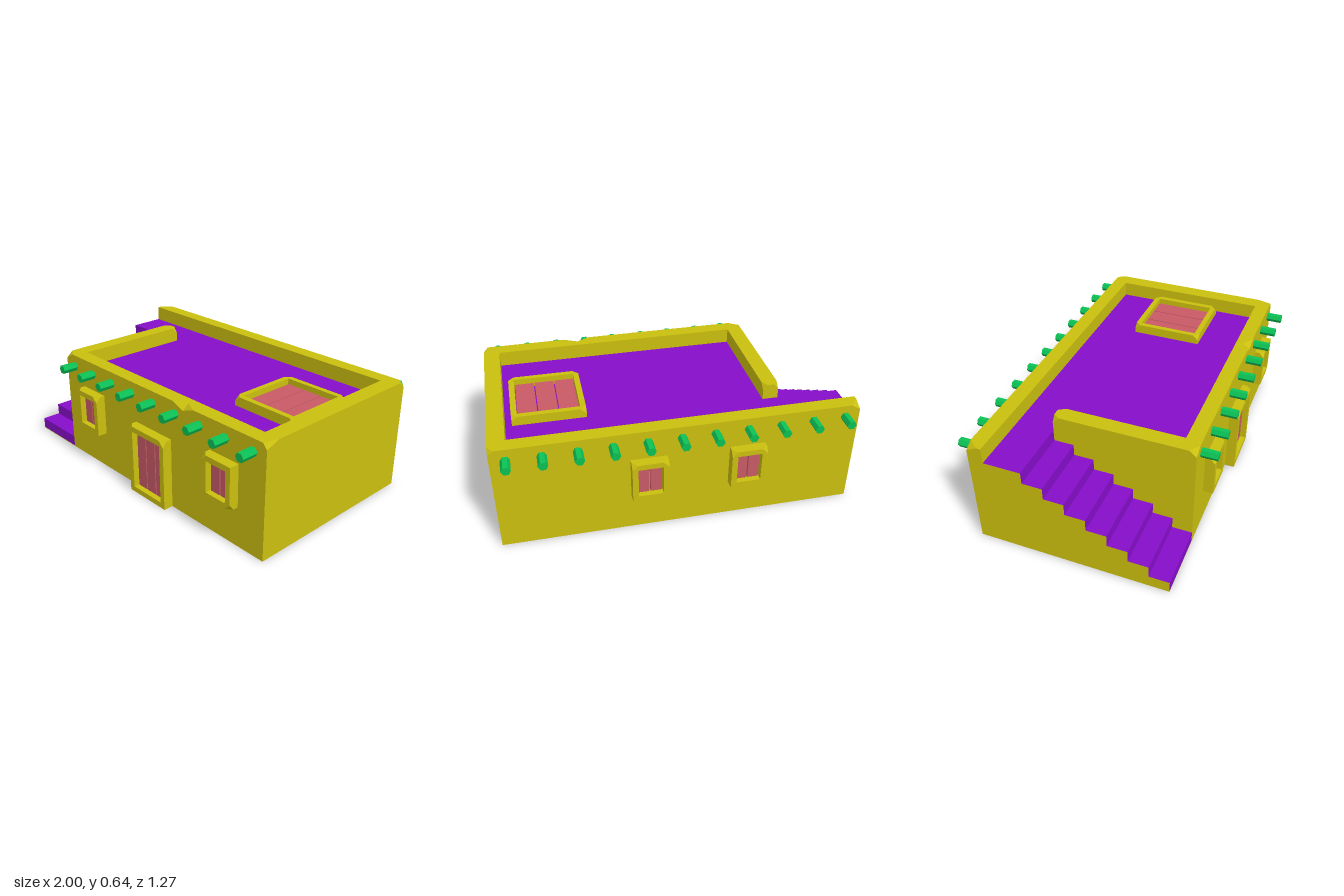
import * as THREE from 'three';
import { ConvexGeometry } from 'three/addons/geometries/ConvexGeometry.js';

const mat = (color) => new THREE.MeshStandardMaterial({ color, flatShading: true });

export function createModel() {
  const house = new THREE.Group();
  house.name = 'adobeHouse';
  const adobe = mat(0xcabf0f), floor = mat(0x860dc9), wood = mat(0xc85a66), beam = mat(0x0cc155);

  const add = (parent, name, geometry, material) => {
    const mesh = new THREE.Mesh(geometry, material);
    mesh.name = name;
    parent.add(mesh);
    return mesh;
  };
  const block = (name, x0, x1, y0, y1, z0, z1) =>
    add(house, name, new THREE.BoxGeometry(x1 - x0, y1 - y0, z1 - z0), adobe)
      .position.set((x0 + x1) / 2, (y0 + y1) / 2, (z0 + z1) / 2);

  const ROOF = 0.545, TOP = 0.637, FRONT = 0.543, BACK = -0.547;
  const INNER_FRONT = 0.457, INNER_BACK = -0.462, SIDE = -0.637;

  // Solid walls
  block('mainWalls', SIDE, 1, 0, ROOF, BACK, FRONT);
  block('backWallExtension', -1, SIDE, 0, ROOF, BACK, INNER_BACK);

  // Parapet pieces; each chip [xEnd, zEnd, dx, dz, dy] knocks off one top corner
  const parapet = (name, xs, zs, chips = []) => {
    const points = [];
    for (const i of [0, 1]) for (const j of [0, 1]) {
      const x = xs[i], z = zs[j];
      points.push(new THREE.Vector3(x, ROOF, z));
      const chip = chips.find((c) => c[0] === i && c[1] === j);
      if (!chip) {
        points.push(new THREE.Vector3(x, TOP, z));
        continue;
      }
      const [, , dx, dz, dy] = chip;
      points.push(
        new THREE.Vector3(x + (i ? -dx : dx), TOP, z),
        new THREE.Vector3(x, TOP, z + (j ? -dz : dz)),
        new THREE.Vector3(x, TOP - dy, z));
    }
    add(house, name, new ConvexGeometry(points), adobe);
  };
  parapet('frontParapetRight', [SIDE, 0.425], [INNER_FRONT, FRONT],
    [[0, 1, 0.06, 0.04, 0.035], [1, 1, 0.08, 0.04, 0.03]]);
  parapet('frontParapetLeft', [0.425, 1], [INNER_FRONT, FRONT],
    [[0, 1, 0.08, 0.04, 0.03], [1, 1, 0.025, 0.08, 0.03]]);
  parapet('backParapet', [-1, 1], [BACK, INNER_BACK],
    [[0, 0, 0.05, 0.06, 0.03], [1, 0, 0.03, 0.04, 0.03]]);
  parapet('leftParapet', [0.907, 1], [INNER_BACK, INNER_FRONT]);
  parapet('rightParapet', [SIDE, -0.547], [-0.25, INNER_FRONT],
    [[0, 0, 0.025, 0.04, 0.035], [1, 0, 0.025, 0.04, 0.035]]);

  // Roof floor
  const roof = add(house, 'roofFloor',
    new THREE.PlaneGeometry(0.907 - SIDE, INNER_FRONT - INNER_BACK).rotateX(-Math.PI / 2), floor);
  roof.position.set((0.907 + SIDE) / 2, ROOF + 0.002, (INNER_FRONT + INNER_BACK) / 2);

  // Outside stairs: stepped profile along z, adobe flank and coloured treads
  const STEPS = 8, rise = (ROOF + 0.002) / STEPS, run = (FRONT + 0.25) / (STEPS - 1);
  const profile = new THREE.Shape();
  profile.moveTo(INNER_BACK, 0.004);
  profile.lineTo(FRONT, 0.004);
  for (let i = 0; i < STEPS; i++) {
    const z = FRONT - i * run;
    profile.lineTo(z, (i + 1) * rise);
    profile.lineTo(i === STEPS - 1 ? INNER_BACK : z - run, (i + 1) * rise);
  }
  const stairs = add(house, 'stairs', new THREE.ExtrudeGeometry(profile,
    { depth: 1 + SIDE, bevelEnabled: false }), [adobe, floor]);
  stairs.rotation.y = -Math.PI / 2;
  stairs.position.x = SIDE;
  block('stairBase', -1, SIDE, 0, 0.004, INNER_BACK, FRONT);

  // Framed opening facing +z, outer corners chipped on the front half of its depth
  const DEPTH = 0.057;
  const opening = (name, w, h, planks, chips) => {
    const group = new THREE.Group();
    group.name = name;
    const border = 0.032, cut = 0.033, a = w / 2, b = h / 2;
    // Corners counter-clockwise from bottom left
    const corners = [[-a, -b], [a, -b], [a, b], [-a, b]];
    const outline = [], snaps = [];
    corners.forEach(([x, y], k) => {
      if (!chips.includes(k)) return outline.push(new THREE.Vector2(x, y));
      const alongX = new THREE.Vector2(x - Math.sign(x) * cut, y);
      const alongY = new THREE.Vector2(x, y - Math.sign(y) * cut);
      outline.push(...(k % 2 ? [alongX, alongY] : [alongY, alongX]));
      snaps.push([alongX, x, y], [alongY, x, y]);
    });
    const shape = new THREE.Shape(outline);
    const u = a - border, v = b - border;
    shape.holes.push(new THREE.Path([[-u, -v], [-u, v], [u, v], [u, -v]]
      .map(([x, y]) => new THREE.Vector2(x, y))));
    const frame = new THREE.ExtrudeGeometry(shape, { depth: DEPTH, steps: 2, bevelEnabled: false });
    const p = frame.attributes.position;
    for (let i = 0; i < p.count; i++) {
      if (p.getZ(i) > DEPTH * 0.75) continue;
      const hit = snaps.find(([q]) => Math.hypot(q.x - p.getX(i), q.y - p.getY(i)) < 1e-4);
      if (hit) p.setXY(i, hit[1], hit[2]);
    }
    frame.computeVertexNormals();
    add(group, 'frame', frame, adobe);
    // Upright planks with narrow gaps
    const pitch = 2 * u / planks;
    for (let i = 0; i < planks; i++) {
      add(group, 'plank', new THREE.BoxGeometry(pitch - 0.006, 2 * v, 0.024), wood)
        .position.set(-u + (i + 0.5) * pitch, 0, 0.012);
    }
    house.add(group);
    return group;
  };
  opening('frontWindowRight', 0.2, 0.24, 2, [2, 3]).position.set(-0.367, 0.346, FRONT);
  opening('frontWindowLeft', 0.2, 0.24, 2, [1, 3]).position.set(0.725, 0.346, FRONT);
  opening('door', 0.296, 0.408, 3, [2, 3]).position.set(0.18, 0.204, FRONT);
  for (const [name, x] of [['backWindowRight', -0.367], ['backWindowLeft', 0.18]]) {
    const win = opening(name, 0.2, 0.24, 2, [2, 3]);
    win.position.set(x, 0.346, BACK);
    win.rotation.y = Math.PI;
  }
  const hatch = opening('roofHatch', 0.41, 0.42, 3, [0, 1, 2, 3]);
  hatch.position.set(0.665, ROOF, -0.005);
  hatch.rotation.x = -Math.PI / 2;

  // Hexagonal roof beam ends along both long walls
  const log = new THREE.CylinderGeometry(0.026, 0.026, 0.11, 6)
    .rotateY(Math.PI / 6).rotateX(Math.PI / 2);
  for (let i = -5; i <= 5; i++) {
    const x = i * 0.1835;
    add(house, 'backBeamEnd', log, beam).position.set(x, 0.571, -0.583);
    if (i >= -3) add(house, 'frontBeamEnd', log, beam).position.set(x, 0.571, 0.581);
  }
  return house;
}
